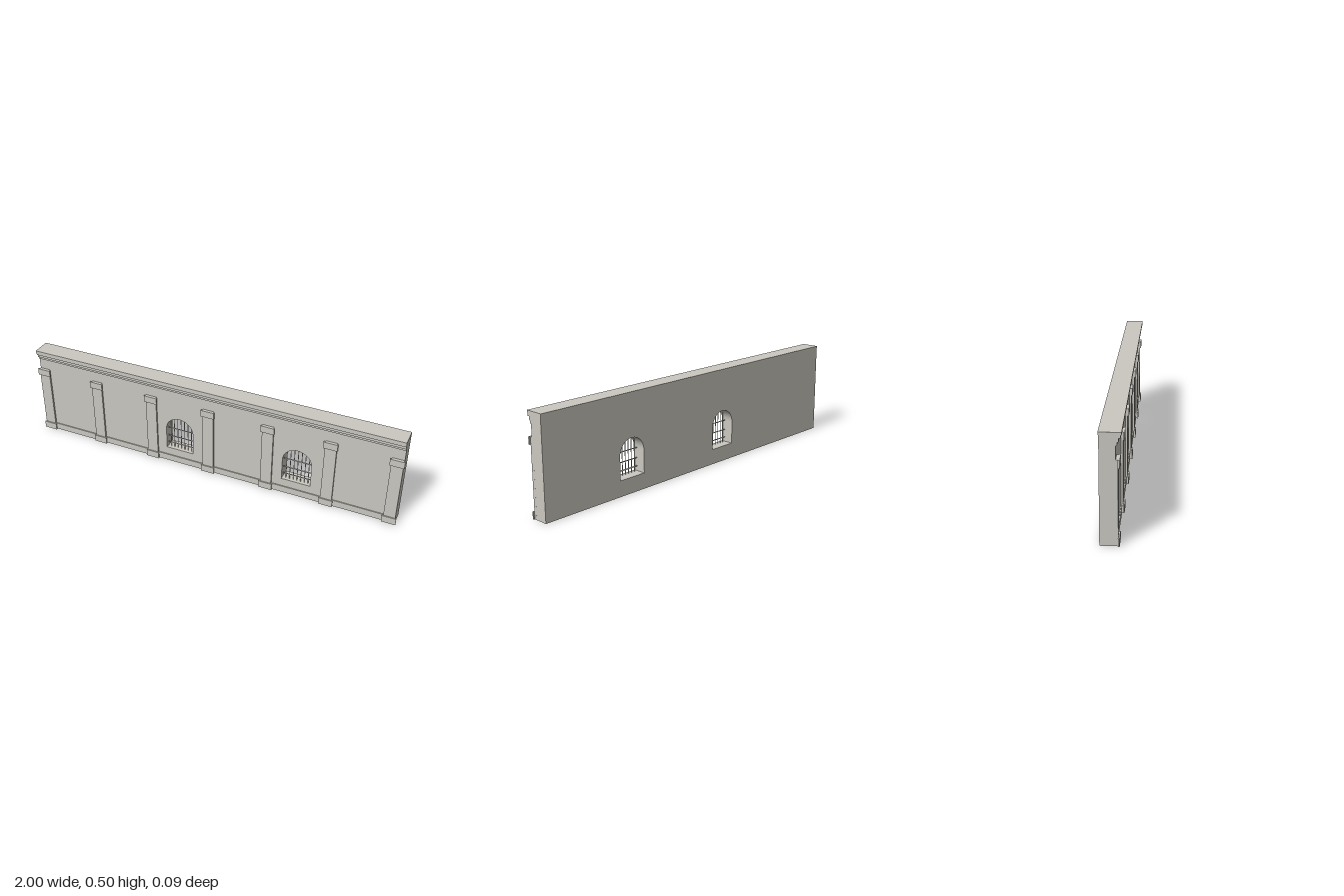
import * as THREE from 'three';

export function createModel() {
  const group = new THREE.Group();
  const stone = new THREE.MeshStandardMaterial({ color: 0xcac8c0 });
  stone.name = 'pale stone';

  const halfLength = 0.993, back = -0.044, front = 0.024;
  const windowXs = [-0.165, 0.478], radius = 0.076, sill = 0.08, spring = 0.198;

  function add(name, geometry, parent = group) {
    const mesh = new THREE.Mesh(geometry, stone);
    mesh.name = name;
    parent.add(mesh);
    return mesh;
  }

  // Box given by its extents
  function block(name, x0, x1, y0, y1, z0, z1, parent = group) {
    const mesh = add(name, new THREE.BoxGeometry(x1 - x0, y1 - y0, z1 - z0), parent);
    mesh.position.set((x0 + x1) / 2, (y0 + y1) / 2, (z0 + z1) / 2);
    return mesh;
  }

  // Wall with arched openings
  const wallShape = new THREE.Shape([
    new THREE.Vector2(-halfLength, 0), new THREE.Vector2(halfLength, 0),
    new THREE.Vector2(halfLength, 0.439), new THREE.Vector2(-halfLength, 0.439),
  ]);
  for (const x of windowXs) {
    const hole = new THREE.Path();
    hole.moveTo(x - radius, sill);
    hole.lineTo(x - radius, spring);
    hole.absarc(x, spring, radius, Math.PI, 0, true);
    hole.lineTo(x + radius, sill);
    hole.closePath();
    wallShape.holes.push(hole);
  }
  const wall = new THREE.ExtrudeGeometry(wallShape, {
    depth: front - back, bevelEnabled: false, curveSegments: 14,
  });
  wall.translate(0, 0, back);
  add('wall', wall);

  // Stepped cornice, profile in (z, y) swept along x
  const profile = [
    [back, 0.439], [0.03, 0.439], [0.03, 0.452], [0.036, 0.452], [0.036, 0.469],
    [0.044, 0.469], [0.044, 0.483], [0.048, 0.483], [0.048, 0.495],
    [-0.047, 0.495], [-0.047, 0.483], [back, 0.483],
  ].map(([z, y]) => new THREE.Vector2(-z, y));
  const cornice = new THREE.ExtrudeGeometry(new THREE.Shape(profile), {
    depth: halfLength * 2, bevelEnabled: false,
  });
  cornice.rotateY(Math.PI / 2);
  cornice.translate(-halfLength, 0, 0);
  add('cornice', cornice);

  // Low plinth between the pilasters
  block('plinth', -halfLength, halfLength, 0, 0.036, front - 0.005, 0.029);

  // Seven pilasters with base and capital
  for (let i = 0; i < 7; i++) {
    const pilaster = new THREE.Group();
    pilaster.name = 'pilaster';
    pilaster.position.x = (i - 3) * 0.3212;
    group.add(pilaster);
    block('pilasterShaft', -0.0295, 0.0295, 0, 0.379, front - 0.005, 0.034, pilaster);
    block('pilasterBase', -0.0355, 0.0355, 0, 0.037, 0.033, 0.04, pilaster);
    block('pilasterCapital', -0.0355, 0.0355, 0.344, 0.38, 0.033, 0.041, pilaster);
  }

  // Thin window grilles, bars cut to the arch
  for (const x of windowXs) {
    const grille = new THREE.Group();
    grille.name = 'windowGrille';
    grille.position.x = x;
    group.add(grille);
    for (let i = -3; i <= 3; i++) {
      const bx = i * 0.0195;
      const top = spring + Math.sqrt(radius * radius - bx * bx);
      const bar = add('verticalBar', new THREE.CylinderGeometry(0.002, 0.002, top - sill, 8), grille);
      bar.position.set(bx, (top + sill) / 2, 0.005);
    }
    for (const y of [0.105, 0.147, 0.198]) {
      block('crossBar', -radius, radius, y - 0.002, y + 0.002, 0.0035, 0.0065, grille);
    }
  }

  return group;
}
